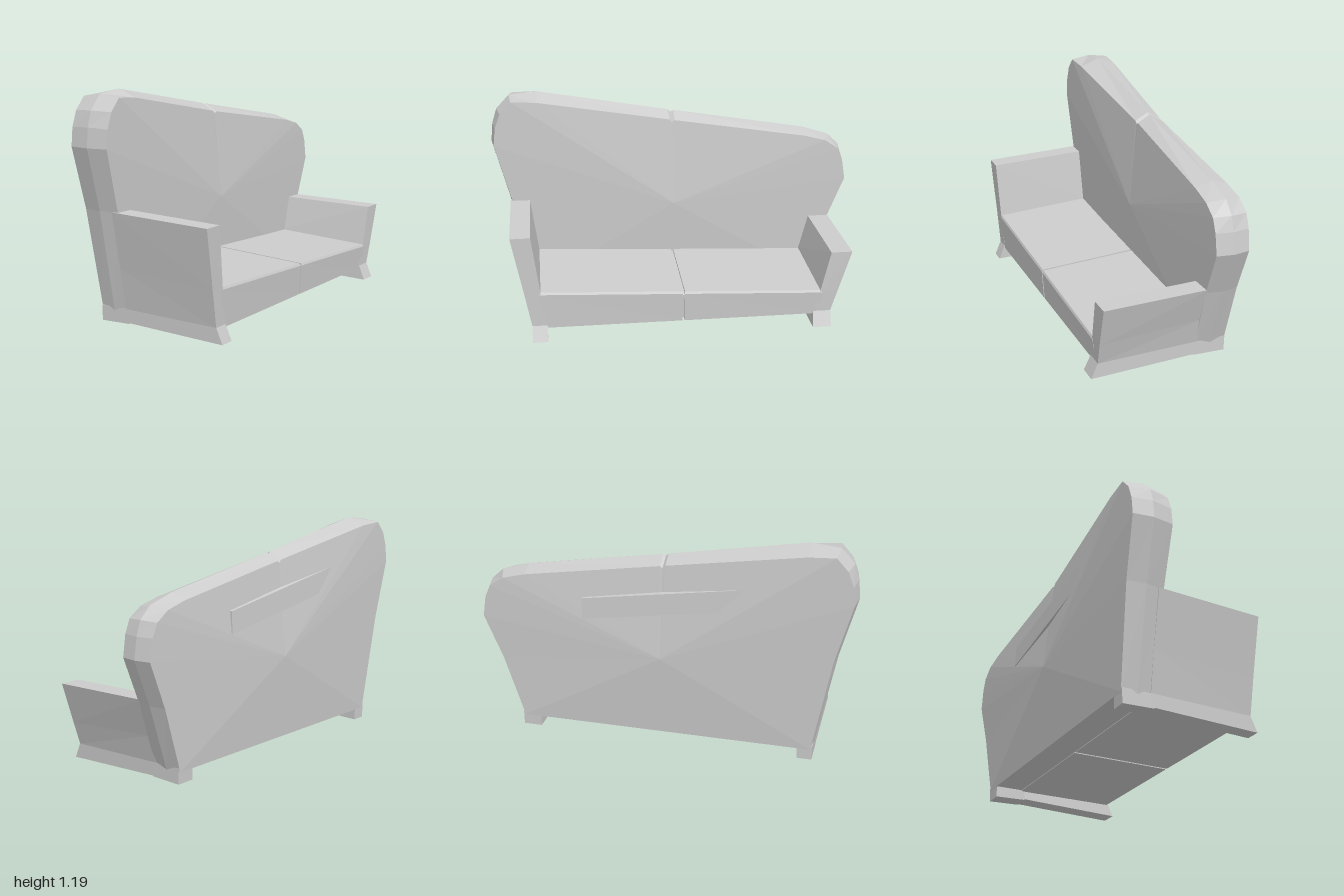
import * as THREE from 'three';

const material = new THREE.MeshStandardMaterial({ color: 0xcccccc, flatShading: true });

// Closed solid through equal-length loops of [x, y, z]; each end is a fan round its centre
function loft(name, loops, startCentre, endCentre) {
  const mean = (loop) => [0, 1, 2].map((k) => loop.reduce((s, p) => s + p[k], 0) / loop.length);
  const n = loops[0].length;
  const points = [...loops.flat(), startCentre ?? mean(loops[0]), endCentre ?? mean(loops.at(-1))];
  const faces = [];
  for (let i = 0; i < n; i++) {
    const j = (i + 1) % n;
    for (let r = 0; r < loops.length - 1; r++) {
      const a = r * n + i, b = r * n + j;
      faces.push([a, b, b + n], [a, b + n, a + n]);
    }
    const last = (loops.length - 1) * n;
    faces.push([points.length - 2, j, i], [points.length - 1, last + i, last + j]);
  }
  // Turn the faces outwards if the loops ran the other way
  const v = points.map((p) => new THREE.Vector3(...p));
  const volume = faces.reduce((s, [a, b, c]) => s + v[a].dot(v[b].clone().cross(v[c])), 0);
  if (volume < 0) faces.forEach((f) => f.reverse());
  const indexed = new THREE.BufferGeometry().setFromPoints(v);
  indexed.setIndex(faces.flat());
  const geometry = indexed.toNonIndexed();
  geometry.computeVertexNormals();
  const mesh = new THREE.Mesh(geometry, material);
  mesh.name = name;
  return mesh;
}

// Four-cornered section: back/front x, back/front y, inner/outer z
const quad = (xb, xf, yb, yf, zi, zo) => [[xb, yb, zi], [xf, yf, zi], [xf, yf, zo], [xb, yb, zo]];

// Backrest: a slanted outline with a ridge round the middle of its thickness
function backrest() {
  // [z, y, inset z, inset y]
  const outline = [
    [0.81, 0.07, 0.01, 0], [0.91, 0.6, 0.015, 0], [0.995, 0.92, 0.015, 0], [0.985, 1.02, 0.015, 0.005],
    [0.96, 1.1, 0.02, 0.005], [0.89, 1.175, 0.01, 0.015], [0.74, 1.19, 0, 0.04],
    [0.02, 1.065, 0, 0.04], [0.005, 1.05, 0, 0.04], [-0.01, 1.06, 0, 0.04],
    [-0.74, 0.94, 0, 0.03], [-0.89, 0.895, 0.03, 0.015], [-0.955, 0.835, 0.02, 0.005],
    [-0.98, 0.76, 0.015, 0], [-0.998, 0.65, 0.015, 0], [-0.9, 0.41, 0.015, 0], [-0.79, 0.07, 0.01, 0],
    [0, 0.07, 0, 0],
  ];
  const side = (front) => outline.map(([z, y, dz, dy]) => {
    // Thickness: pinched at the top middle, fuller at the taller end, slim at the floor
    const end = z > 0 ? 0.11 : 0.09;
    const top = THREE.MathUtils.lerp(0.07, end, Math.min(1, Math.abs(z) / 0.87));
    const half = THREE.MathUtils.lerp(0.083, top, THREE.MathUtils.clamp((y - 0.07) / 0.8, 0, 1));
    return [-0.27 + (front ? half : -half), y - dy, z - Math.sign(z) * dz];
  });
  const ridge = outline.map(([z, y]) => [-0.27, y, z]);
  return loft('backrest', [side(false), ridge, side(true)], [-0.39, 0.52, 0], [-0.16, 0.55, 0]);
}

export function createModel() {
  const sofa = new THREE.Group();
  sofa.name = 'sofa';
  sofa.add(backrest());

  // Ledge across the rear of the backrest
  const ledgeY = (z) => 0.885 + 0.155 * z;
  sofa.add(loft('rearLedge', [-0.42, 0.53].map((z) => [
    [-0.345, ledgeY(z), z], [-0.375, ledgeY(z) - 0.005, z], [-0.38, ledgeY(z) - 0.12, z], [-0.345, ledgeY(z) - 0.12, z],
  ])));

  // Arms lean outwards and stand on flared rails
  sofa.add(loft('leftEndArm', [
    quad(-0.2, 0.385, 0.02, 0, 0.73, 0.81),
    quad(-0.2, 0.35, 0.09, 0.08, 0.73, 0.81),
    quad(-0.2, 0.355, 0.3, 0.27, 0.76, 0.845),
    quad(-0.2, 0.365, 0.6, 0.58, 0.8, 0.905),
  ]));
  sofa.add(loft('rightEndArm', [
    quad(-0.2, 0.385, 0.02, 0, -0.69, -0.79),
    quad(-0.2, 0.35, 0.09, 0.08, -0.695, -0.79),
    quad(-0.2, 0.355, 0.235, 0.2, -0.73, -0.826),
    quad(-0.2, 0.36, 0.43, 0.42, -0.78, -0.893),
  ]));

  // Rear feet
  for (const [zi, zo] of [[0.73, 0.81], [-0.69, -0.79]]) {
    sofa.add(loft('rearFoot', [
      quad(-0.35, -0.18, 0.01, 0.015, zi, zo), quad(-0.352, -0.18, 0.09, 0.09, zi, zo),
    ]));
  }

  // Seat cushions: the top slopes with the backrest and rises to the rear
  const seatY = (z) => 0.235 + 0.046 * z;
  const cushion = (name, z0, z1, drop, xf) => {
    const section = (x, lift) => [z0, z1].map((z) => [x, seatY(z) + lift - drop, z]);
    const row = (rear, front) => [rear[0], front[0], front[1], rear[1]];
    return loft(name, [
      quad(-0.2, xf - 0.01, 0.065 + drop, 0.065 + drop, z0, z1),
      row(section(-0.2, 0.015), section(xf, -0.012)),
      row(section(-0.2, 0.032), section(xf - 0.006, 0)),
    ]);
  };
  sofa.add(cushion('leftCushion', 0.015, 0.765, 0, 0.357));
  sofa.add(cushion('rightCushion', -0.74, 0.003, 0, 0.357));
  sofa.add(cushion('seatSeam', -0.01, 0.03, 0.012, 0.342));

  return sofa;
}
